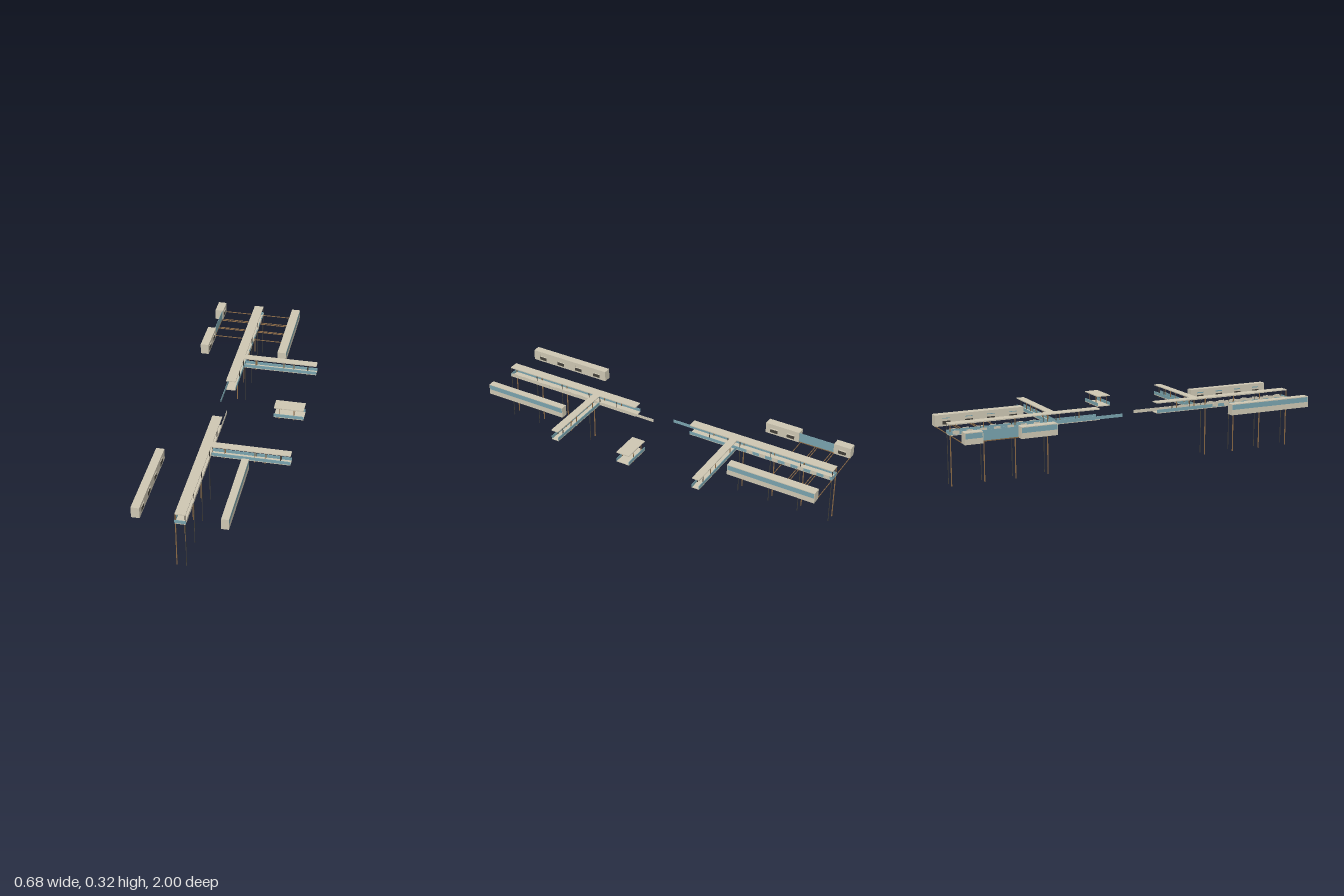
import * as THREE from 'three';

const mat = (name, color) => {
  const m = new THREE.MeshStandardMaterial({ color });
  m.name = name;
  return m;
};

export function createModel() {
  const model = new THREE.Group();
  const concrete = mat('concrete', 0xcdc6b2);
  const glass = mat('teal glass', 0x79a3ad);
  const timber = mat('timber', 0x8a6945);
  const steel = mat('dark steel', 0x423f39);

  // Box given by its limits on each axis
  const box = (parent, name, m, x0, x1, y0, y1, z0, z1) => {
    const mesh = new THREE.Mesh(new THREE.BoxGeometry(x1 - x0, y1 - y0, z1 - z0), m);
    mesh.position.set((x0 + x1) / 2, (y0 + y1) / 2, (z0 + z1) / 2);
    mesh.name = name;
    parent.add(mesh);
  };
  const group = (name) => {
    const g = new THREE.Group();
    g.name = name;
    model.add(g);
    return g;
  };
  const post = (parent, name, m, x, z, y0, y1, w = 0.0035) =>
    box(parent, name, m, x - w / 2, x + w / 2, y0, y1, z - w / 2, z + w / 2);

  const FLOOR = 0.26, DECK = 0.264, RAIL = 0.281, SOFFIT = 0.315, TOP = 0.32;

  // Floor and roof of an open gallery
  const slabs = (g, x0, x1, z0, z1) => {
    box(g, 'floor', concrete, x0, x1, FLOOR, DECK, z0, z1);
    box(g, 'roof', concrete, x0, x1, SOFFIT, TOP, z0, z1);
  };

  // Two long spine galleries on tall stilts
  for (const s of [1, -1]) {
    const g = group(s > 0 ? 'frontSpine' : 'backSpine');
    const zr = (a, b) => (s > 0 ? [a, b] : [-b, -a]);
    slabs(g, -0.123, -0.07, ...zr(0.17, 1));
    // The parapet on one side runs on past the roof
    box(g, 'rightParapet', glass, -0.125, -0.122, DECK, RAIL, ...zr(s > 0 ? 0.17 : 0.04, 1));
    box(g, 'leftParapet', s > 0 ? concrete : glass, -0.071, -0.0685, DECK, RAIL, ...zr(s > 0 ? 0.055 : 0.17, 0.997));
    box(g, 'endParapet', glass, -0.122, -0.0685, DECK, RAIL, ...zr(0.997, 1));
    // Stilts that carry on up to the roof
    for (const z of [0.997, 0.82, 0.65, 0.47]) {
      post(g, 'timberStilt', timber, -0.12, s * z, 0, SOFFIT, 0.0045);
      post(g, 'steelStilt', steel, -0.072, s * z, 0, SOFFIT, 0.003);
    }
    for (const z of [0.29, 0.4]) {
      post(g, 'roofPost', timber, -0.12, s * z, DECK, SOFFIT);
      post(g, 'roofPost', steel, -0.072, s * z, DECK, SOFFIT);
    }
    // Shallow panels along the parapets of the outer half
    for (let i = 0; i < 7; i++) {
      const z = 0.53 + i * 0.073;
      for (const x of [-0.1265, -0.0695])
        box(g, 'parapetPanel', concrete, x, x + 0.0025, DECK + 0.002, RAIL + 0.004, ...zr(z - 0.017, z + 0.017));
    }
  }

  // Side galleries reaching to the left
  for (const z of [0.42, -0.432]) {
    const g = group('sideGallery');
    const z0 = z - 0.021, z1 = z + 0.021;
    slabs(g, -0.07, 0.34, z0, z1);
    box(g, 'frontParapet', glass, -0.068, 0.34, DECK, RAIL, z1 - 0.003, z1);
    box(g, 'backParapet', glass, -0.068, 0.34, DECK, RAIL, z0, z0 + 0.003);
    [-0.003, 0.155, 0.209, 0.288].forEach((x, i) => {
      for (const pz of [z0 + 0.005, z1 - 0.005])
        post(g, 'galleryPost', i < 3 ? timber : steel, x, pz, 0.25, SOFFIT);
    });
  }

  // Free-standing pavilion
  const pavilion = group('pavilion');
  slabs(pavilion, 0.18, 0.34, -0.04, 0.036);
  for (const z of [-0.04, 0.033])
    box(pavilion, 'parapet', glass, 0.18, 0.34, DECK, RAIL, z, z + 0.003);
  for (const x of [0.209, 0.288])
    for (const z of [-0.035, 0.031]) post(pavilion, 'pavilionPost', timber, x, z, 0.25, SOFFIT);

  // Hollow blocks: glazed band outside, openings with dark infill facing the spine
  const block = (x0, x1, z0, z1) => {
    const g = group('closedBlock');
    const T = 0.003;
    const [o0, i0] = x0 > 0 ? [x1 - T, x0] : [x0, x1 - T];
    const outer = (name, m, y0, y1) => box(g, name, m, o0, o0 + T, y0, y1, z0 + T, z1 - T);
    const inner = (name, m, y0, y1, a, b) => box(g, name, m, i0, i0 + T, y0, y1, a, b);
    box(g, 'floor', concrete, x0, x1, FLOOR, DECK, z0, z1);
    box(g, 'roof', concrete, x0, x1, 0.316, TOP, z0, z1);
    for (const z of [z0, z1 - T]) box(g, 'endWall', concrete, x0, x1, DECK, 0.316, z, z + T);
    outer('outerWall', concrete, DECK, 0.289);
    outer('windowBand', glass, 0.289, 0.316);
    inner('innerSill', concrete, DECK, 0.269, z0 + T, z1 - T);
    inner('innerLintel', concrete, 0.303, 0.316, z0 + T, z1 - T);
    // Piers between the openings
    const n = Math.max(1, Math.round((z1 - z0) / 0.11));
    const step = (z1 - z0) / n;
    const half = 0.022;
    for (let i = 0; i < n; i++) {
      const z = z0 + (i + 0.5) * step;
      inner('innerPier', concrete, 0.269, 0.303, i ? z - step / 2 : z0 + T, z - half);
      inner('innerPier', concrete, 0.269, 0.303, z + half, i < n - 1 ? z + step / 2 : z1 - T);
      inner('openingInfill', steel, 0.269, 0.286, z - half, z + half);
    }
  };
  block(0.102, 0.14, 0.507, 0.995);
  block(-0.34, -0.297, 0.507, 0.995);
  block(0.102, 0.15, -1, -0.51);
  block(-0.343, -0.297, -1, -0.905);
  block(-0.343, -0.297, -0.705, -0.51);

  // Glazed wall closing the gap between the two short blocks
  const link = group('glazedLink');
  box(link, 'linkSill', timber, -0.305, -0.301, 0.259, 0.264, -0.905, -0.705);
  box(link, 'linkGlass', glass, -0.304, -0.302, 0.264, 0.316, -0.905, -0.705);

  // Thin beams tying the back blocks to the spine
  const beams = group('tieBeams');
  for (const z of [-0.997, -0.907, -0.893, -0.812, -0.8, -0.715])
    box(beams, 'tieBeam', timber, -0.302, 0.102, 0.259, 0.263, z - 0.0015, z + 0.0015);

  return model;
}
